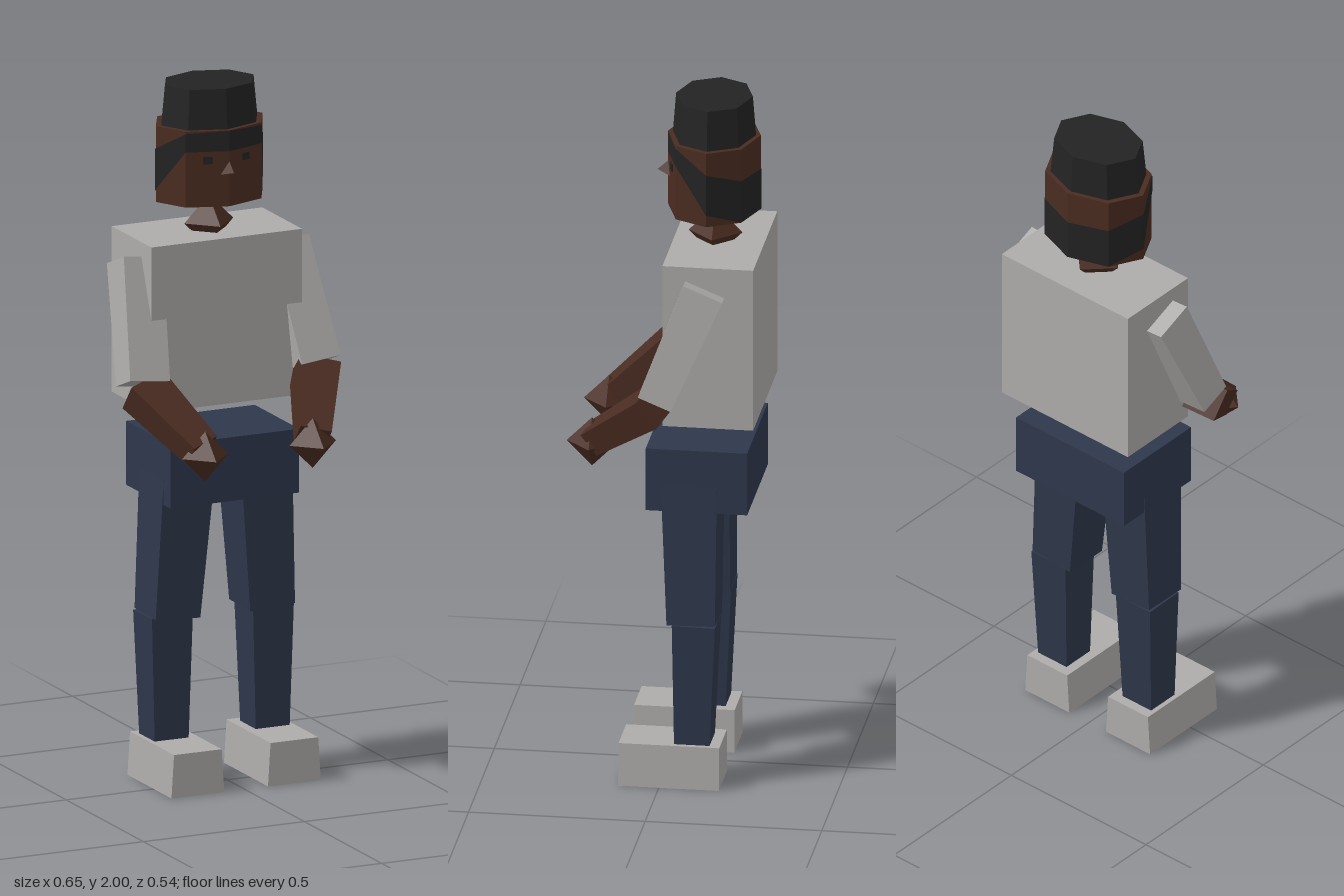
import * as THREE from 'three';

const paint = (name, color) => {
  const m = new THREE.MeshStandardMaterial({ color });
  m.name = name;
  return m;
};

export function createModel() {
  const shirt = paint('light grey cloth', 0xaeacaa);
  const denim = paint('navy cloth', 0x2e374b);
  const skin = paint('brown skin', 0x4a2c21);
  const hair = paint('black hair', 0x232323);
  hair.side = THREE.DoubleSide;

  const group = new THREE.Group();
  group.name = 'figure';
  const body = new THREE.Group();
  body.name = 'body';
  body.position.x = 0.004;
  group.add(body);

  const add = (name, geo, mat, x = 0, y = 0, z = 0) => {
    const mesh = new THREE.Mesh(geo, mat);
    mesh.name = name;
    mesh.position.set(x, y, z);
    body.add(mesh);
    return mesh;
  };

  // Tapered box running between two centres, each end sized [width, depth]
  const limb = (name, mat, top, topSize, bottom, bottomSize) => {
    const a = new THREE.Vector3(...top), b = new THREE.Vector3(...bottom);
    const Y = a.clone().sub(b).normalize();
    const X = new THREE.Vector3(1, 0, 0).addScaledVector(Y, -Y.x).normalize();
    const Z = X.clone().cross(Y);
    const geo = new THREE.BoxGeometry(1, 1, 1);
    const p = geo.attributes.position;
    for (let i = 0; i < p.count; i++) {
      const up = p.getY(i) > 0;
      const [w, d] = up ? topSize : bottomSize;
      const v = (up ? a : b).clone()
        .addScaledVector(X, p.getX(i) * w)
        .addScaledVector(Z, p.getZ(i) * d);
      p.setXYZ(i, v.x, v.y, v.z);
    }
    geo.computeVertexNormals();
    return add(name, geo, mat);
  };

  // Torso and hips
  add('torso', new THREE.BoxGeometry(0.468, 0.48, 0.257), shirt, 0, 1.328, -0.139);
  add('hips', new THREE.BoxGeometry(0.4, 0.185, 0.287), denim, 0, 0.912, -0.102);

  // Arms and legs
  for (const [side, s] of [['left', 1], ['right', -1]]) {
    limb(side + 'UpperArm', shirt, [s * 0.228, 1.503, -0.13], [0.12, 0.119],
      [s * 0.266, 1.18, 0.002], [0.122, 0.1]);
    limb(side + 'Forearm', skin, [s * 0.268, 1.165, 0.004], [0.125, 0.094],
      [s * 0.172, 1.02, 0.188], [0.09, 0.075]);
    add(side + 'Hand', new THREE.OctahedronGeometry(0.072), skin, s * 0.167, 1.005, 0.198);
    limb(side + 'Thigh', denim, [s * 0.119, 0.92, -0.08], [0.16, 0.16],
      [s * 0.147, 0.48, -0.088], [0.139, 0.137]);
    limb(side + 'Shin', denim, [s * 0.157, 0.482, -0.096], [0.127, 0.122],
      [s * 0.157, 0.115, -0.09], [0.105, 0.1]);
    limb(side + 'Shoe', shirt, [s * 0.15, 0.125, -0.0275], [0.148, 0.285],
      [s * 0.15, 0, -0.0275], [0.164, 0.285]);
  }

  // Neck and eight-sided head
  const RX = 0.166, RZ = 0.131, CZ = -0.124;
  add('neck', new THREE.OctahedronGeometry(0.076), skin, 0, 1.591, -0.127);
  const octagon = (top, bottom, h) =>
    new THREE.CylinderGeometry(top, bottom, h, 8).scale(RX, 1, RZ).toNonIndexed();
  const flat = (geo) => { geo.computeVertexNormals(); return geo; };
  add('head', flat(octagon(1, 1, 0.22)), skin, 0, 1.775, CZ);
  add('hairTop', flat(octagon(0.83, 0.9, 0.117)), hair, 0, 1.9415, CZ);

  // Hair band sweeping from the forehead down to the nape
  const upper = [1.884, 1.878, 1.82, 1.79, 1.785];
  const lower = [1.825, 1.825, 1.7, 1.666, 1.665];
  const verts = [];
  const corner = (i, heights) => {
    const k = i % 8, t = k * Math.PI / 4;
    return [Math.sin(t) * RX * 1.01, heights[Math.min(k, 8 - k)], Math.cos(t) * RZ * 1.01];
  };
  for (let i = 0; i < 8; i++) {
    const a = corner(i, lower), b = corner(i + 1, lower);
    const c = corner(i + 1, upper), d = corner(i, upper);
    verts.push(...a, ...b, ...c, ...a, ...c, ...d);
  }
  const band = new THREE.BufferGeometry();
  band.setAttribute('position', new THREE.Float32BufferAttribute(verts, 3));
  add('hairBand', flat(band), hair, 0, 0, CZ);

  // Eyes lie on the two slanted front faces
  for (const s of [1, -1]) {
    const eye = add(s > 0 ? 'leftEye' : 'rightEye',
      new THREE.BoxGeometry(0.028, 0.021, 0.006), hair, s * 0.058, 1.8, -0.012);
    eye.rotation.y = s * 0.314;
  }

  // Nose: small three-sided pyramid
  const T = [0, 1.798, 0.004], L = [0.024, 1.757, -0.002], R = [-0.024, 1.757, -0.002];
  const tip = [0, 1.768, 0.037];
  const nose = new THREE.BufferGeometry();
  nose.setAttribute('position', new THREE.Float32BufferAttribute(
    [...T, ...tip, ...L, ...T, ...R, ...tip, ...R, ...L, ...tip], 3));
  add('nose', flat(nose), skin);

  return group;
}
